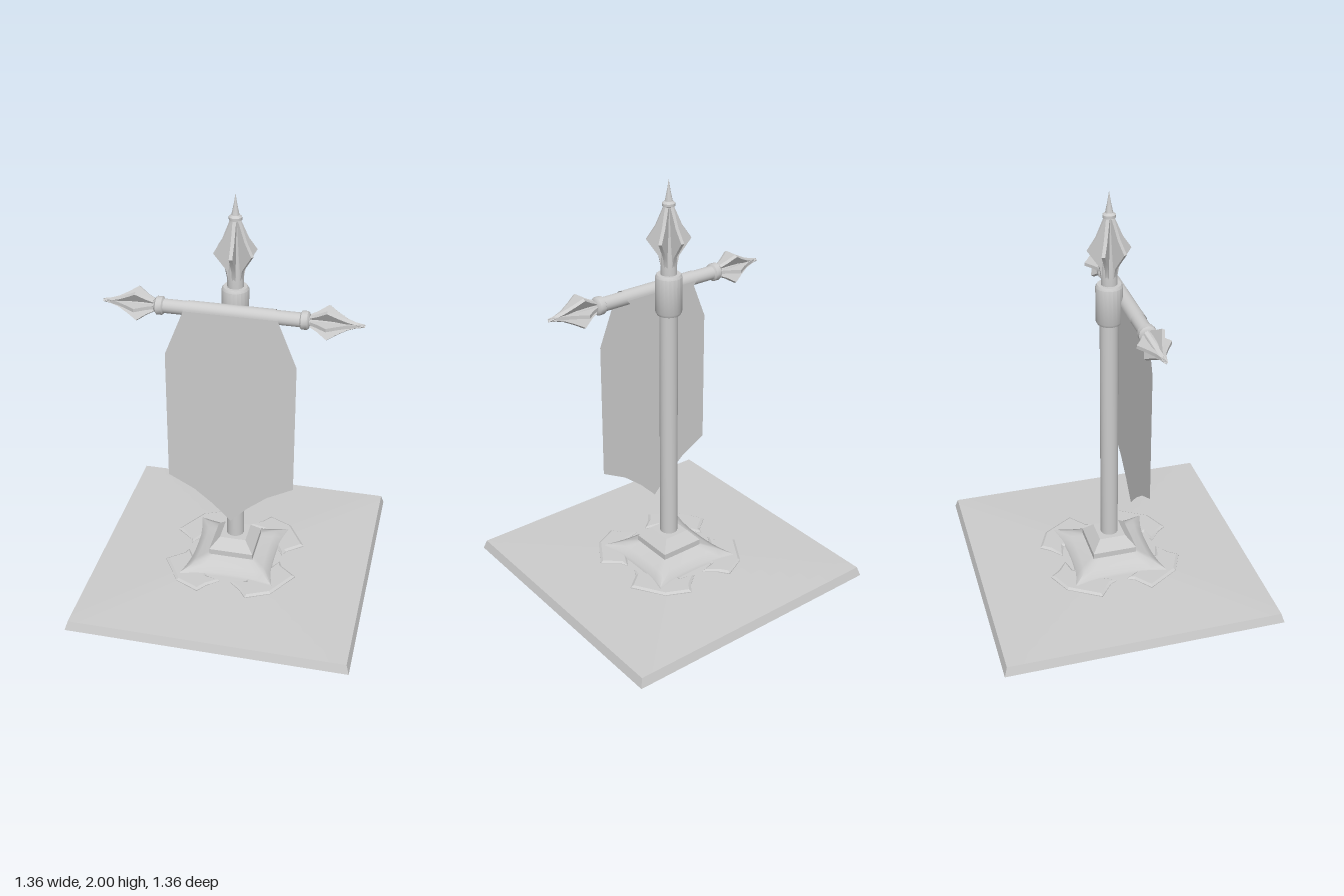
import * as THREE from 'three';
import { toCreasedNormals } from 'three/addons/utils/BufferGeometryUtils.js';

const material = new THREE.MeshStandardMaterial({ color: 0xcccccc });
const clothMaterial = new THREE.MeshStandardMaterial({ color: 0xcccccc, side: THREE.DoubleSide });

function add(parent, name, geometry, mat = material, crease = 0.6) {
  const mesh = new THREE.Mesh(crease ? toCreasedNormals(geometry, crease) : geometry, mat);
  mesh.name = name;
  parent.add(mesh);
  return mesh;
}

const lathe = (points, sides) =>
  new THREE.LatheGeometry(points.map(([r, y]) => new THREE.Vector2(r, y)), sides);
const shapeOf = (points) => new THREE.Shape(points.map(([x, y]) => new THREE.Vector2(x, y)));

// Surface through equally sized loops of points, first and last loop left open
function loft(loops) {
  const n = loops[0].length, index = [];
  for (let j = 0; j < loops.length - 1; j++) {
    for (let i = 0; i < n; i++) {
      const a = j * n + i, b = j * n + (i + 1) % n;
      index.push(a, a + n, b, b, a + n, b + n);
    }
  }
  const geometry = new THREE.BufferGeometry();
  geometry.setAttribute('position', new THREE.Float32BufferAttribute(loops.flat(2), 3));
  geometry.setIndex(index);
  geometry.computeVertexNormals();
  return geometry;
}

// Six thin blades around a turned core, pointing along +y
function finial(name, core, blade) {
  const group = new THREE.Group();
  group.name = name;
  add(group, name + 'Core', lathe(core, 12));
  const thickness = 0.016;
  for (let i = 0; i < 6; i++) {
    const geometry = new THREE.ExtrudeGeometry(shapeOf(blade), { depth: thickness, bevelEnabled: false });
    geometry.translate(0, 0, -thickness / 2);
    geometry.rotateY(Math.PI / 6 + i * Math.PI / 3);
    add(group, name + 'Blade', geometry);
  }
  return group;
}

// Square slab with sloping sides and a soft swell toward the middle
function groundSlab() {
  const geometry = new THREE.BoxGeometry(1.36, 0.045, 1.36, 20, 1, 20);
  const p = geometry.attributes.position;
  for (let i = 0; i < p.count; i++) {
    if (p.getY(i) < 0) {
      p.setY(i, 0);
      continue;
    }
    const x = p.getX(i) * 0.98, z = p.getZ(i) * 0.98;
    const rise = Math.max(0, 1 - Math.max(Math.abs(x), Math.abs(z)) / 0.666);
    p.setXYZ(i, x, 0.045 + 0.02 * rise, z);
  }
  geometry.computeVertexNormals();
  return geometry;
}

// Rounded square loop whose corners are drawn outward
function moundLoop(half, corner, y) {
  const points = [];
  for (let side = 0; side < 4; side++) {
    const c = Math.cos(side * Math.PI / 2), s = Math.sin(side * Math.PI / 2);
    for (let k = 0; k < 8; k++) {
      const t = k / 4 - 1, out = half + (corner - half) * Math.abs(t) ** 3;
      const x = out, z = t * (Math.abs(t) === 1 ? corner : out);
      points.push([c * x - s * z, y, s * x + c * z]);
    }
  }
  return points;
}

export function createModel() {
  const model = new THREE.Group();
  model.name = 'bannerStand';

  // Ground and broken paving around the foot
  add(model, 'groundSlab', groundSlab(), material, 0.5);
  const plate = [[0.12, 0.332], [0.085, 0.285], [0.025, 0.236], [0.1, 0.215], [0.1, 0.1],
    [0.19, 0.1], [0.235, 0.025], [0.25, 0.06], [0.33, 0.125], [0.236, 0.278]];
  for (const sx of [1, -1]) {
    for (const sz of [1, -1]) {
      const geometry = new THREE.ExtrudeGeometry(shapeOf(plate.map(([x, z]) => [x * sx, z * sz])),
        { depth: 0.022, bevelThickness: 0.008, bevelSize: 0.012, bevelOffset: -0.012, bevelSegments: 1 });
      geometry.rotateX(-Math.PI / 2);
      geometry.translate(0, 0.038, 0);
      add(model, 'pavingPiece', geometry, material, 0.3);
    }
  }

  // Mound and stepped square foot
  add(model, 'mound', loft([
    moundLoop(0.205, 0.245, 0.048), moundLoop(0.198, 0.228, 0.074),
    moundLoop(0.165, 0.178, 0.094), moundLoop(0.1, 0.1, 0.12),
  ]), material, 0.8);
  const foot = (name, bottom, top, y0, y1) => {
    const g = new THREE.CylinderGeometry(top * Math.SQRT2, bottom * Math.SQRT2, y1 - y0, 4);
    g.rotateY(Math.PI / 4);
    g.translate(0, (y0 + y1) / 2, 0);
    add(model, name, g);
  };
  foot('footBlock', 0.11, 0.11, 0.1, 0.145);
  foot('footBevel', 0.11, 0.065, 0.145, 0.196);

  // Pole and collar
  add(model, 'pole', lathe([[0.043, 0.18], [0.043, 1.4]], 20));
  add(model, 'collar', lathe([[0.04, 1.368], [0.055, 1.368], [0.062, 1.382], [0.062, 1.55],
    [0.055, 1.562], [0, 1.562]], 20));

  // Top finial
  model.add(finial('topFinial',
    [[0.038, 1.55], [0.038, 1.63], [0.03, 1.7], [0.018, 1.875], [0.03, 1.88], [0.03, 1.893],
      [0.018, 1.902], [0.008, 1.95], [0, 2]],
    [[0, 1.6], [0.036, 1.6], [0.046, 1.65], [0.1, 1.73], [0.06, 1.79], [0.024, 1.875], [0, 1.875]]));

  // Crossbar with a ring and finial on each end
  const crossbar = new THREE.Group();
  crossbar.name = 'crossbar';
  crossbar.position.set(0, 1.467, 0.077);
  model.add(crossbar);
  const bar = new THREE.CylinderGeometry(0.033, 0.033, 0.66, 20);
  bar.rotateZ(Math.PI / 2);
  add(crossbar, 'bar', bar);
  for (const side of [1, -1]) {
    const end = finial('barFinial',
      [[0.033, 0.31], [0.042, 0.316], [0.042, 0.343], [0.034, 0.35], [0.024, 0.352],
        [0.026, 0.4], [0.024, 0.46], [0.012, 0.53], [0, 0.6]],
      [[0, 0.355], [0.03, 0.355], [0.045, 0.385], [0.078, 0.432], [0.05, 0.475],
        [0.025, 0.52], [0, 0.595]]);
    end.rotation.z = -side * Math.PI / 2;
    crossbar.add(end);
  }

  // Banner: front sheet, wrap over the bar and pointed flap behind
  const front = new THREE.ShapeGeometry(shapeOf([[-0.215, 1.467], [-0.305, 1.24], [-0.305, 0.575],
    [-0.18, 0.508], [-0.085, 0.43], [0, 0.342], [0.085, 0.43], [0.18, 0.508], [0.305, 0.575],
    [0.305, 1.24], [0.215, 1.467]]));
  front.translate(0, 0, 0.113);
  add(model, 'bannerSheet', front, clothMaterial, 0);
  const wrap = new THREE.CylinderGeometry(0.036, 0.036, 1, 16, 1, true, 0, Math.PI);
  wrap.rotateZ(Math.PI / 2);
  const p = wrap.attributes.position;
  for (let i = 0; i < p.count; i++) {
    const width = 0.2 + 0.015 * Math.max(0, p.getZ(i)) / 0.036;
    p.setXYZ(i, Math.sign(p.getX(i)) * width, 1.467 + Math.abs(p.getY(i)), 0.077 + p.getZ(i));
  }
  wrap.computeVertexNormals();
  add(model, 'bannerWrap', wrap, clothMaterial, 0);
  const flap = new THREE.ShapeGeometry(shapeOf([[-0.2, 1.467], [0, 1.24], [0.2, 1.467]]));
  flap.translate(0, 0, 0.044);
  add(model, 'bannerFlap', flap, clothMaterial, 0);

  return model;
}
